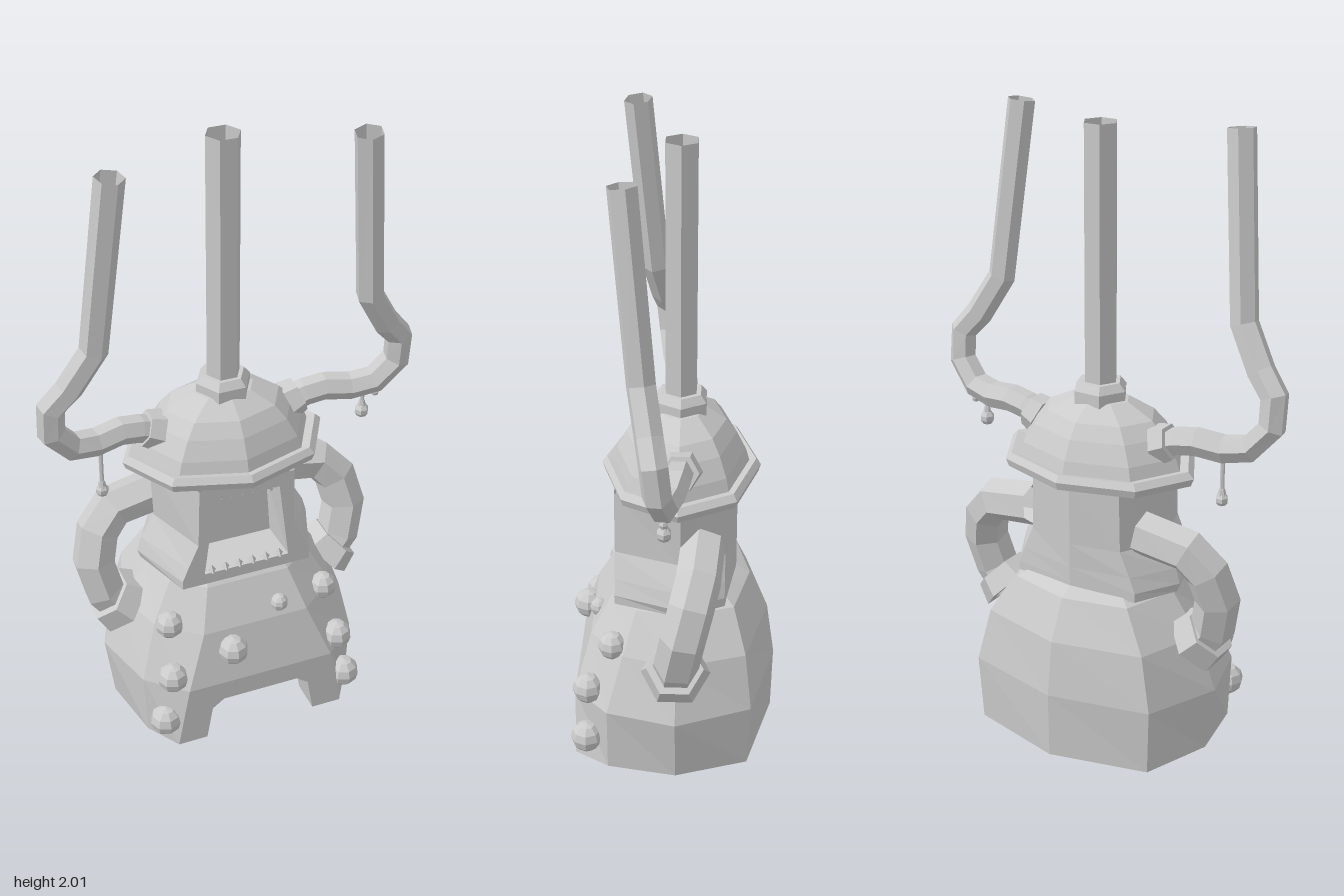
import * as THREE from 'three';

const mat = new THREE.MeshStandardMaterial({ color: 0xcccccc, flatShading: true, side: THREE.DoubleSide });
const V = (p) => new THREE.Vector3(...p);

function add(parent, name, geometry, pos = [0, 0, 0]) {
  const mesh = new THREE.Mesh(geometry, mat);
  mesh.name = name;
  mesh.position.set(...pos);
  parent.add(mesh);
  return mesh;
}

// Skin between loops of points; front gap stays open below loop "closeFrom"
function skin(loops, closeFrom = 0) {
  const n = loops[0].length, index = [];
  for (let i = 0; i < loops.length - 1; i++) {
    for (let j = 0; j < (i >= closeFrom ? n : n - 1); j++) {
      const a = i * n + j, b = i * n + (j + 1) % n;
      index.push(a, a + n, b + n, a, b + n, b);
    }
  }
  const g = new THREE.BufferGeometry();
  g.setAttribute('position', new THREE.Float32BufferAttribute(loops.flat(2), 3));
  g.setIndex(index);
  g.computeVertexNormals();
  return g;
}

// Symmetric loop at height y from half points [x, z], back centre first
function ring(y, half) {
  const right = half.map(([x, z]) => [x, y, z]);
  const left = right.slice(1).reverse().map(([x, yy, z]) => [-x, yy, z]);
  return [...left, ...right];
}

// Tube with hard bends at the given points
class Bends extends THREE.Curve {
  constructor(points) {
    super();
    this.p = points.map(V);
  }
  getPointAt(u) {
    const f = u * (this.p.length - 1), i = Math.min(Math.floor(f + 1e-6), this.p.length - 2);
    return this.p[i].clone().lerp(this.p[i + 1], f - i);
  }
  getPoint(t) { return this.getPointAt(t); }
  getTangentAt(u) {
    const i = Math.round(u * (this.p.length - 1)), last = this.p.length - 1, t = new THREE.Vector3();
    if (i > 0) t.add(this.p[i].clone().sub(this.p[i - 1]).normalize());
    if (i < last) t.add(this.p[i + 1].clone().sub(this.p[i]).normalize());
    return t.normalize();
  }
}
const pipe = (points, r, sides = 6) => new THREE.TubeGeometry(new Bends(points), points.length - 1, r, sides);

// Short collar centred at pos, facing along dir
function collar(parent, name, r0, r1, length, sides, pos, dir) {
  const m = add(parent, name, new THREE.CylinderGeometry(r0, r1, length, sides), pos);
  m.quaternion.setFromUnitVectors(new THREE.Vector3(0, 1, 0), V(dir).normalize());
}

const shape = (pts) => new THREE.Shape(pts.map(([x, y]) => new THREE.Vector2(x, y)));

export function createModel() {
  const model = new THREE.Group();

  // Bell-shaped lower body, open underneath
  const body = new THREE.Group();
  body.name = 'body';
  model.add(body);
  add(body, 'bodyShell', skin([
    ring(0, [[0, -.33], [.32, -.25], [.4, -.02], [.36, .2], [.29, .31]]),
    ring(.22, [[0, -.335], [.33, -.26], [.43, -.02], [.37, .2], [.25, .31]]),
    ring(.4, [[0, -.31], [.29, -.24], [.365, -.02], [.31, .15], [.18, .26]]),
    ring(.53, [[0, -.25], [.21, -.2], [.27, -.02], [.24, .11], [.14, .19]]),
    ring(.57, [[0, -.18], [.15, -.15], [.2, -.02], [.18, .08], [.12, .15]]),
  ], 1));

  // Front panel with an arched doorway and its tunnel
  const door = [[-.19, 0], [-.17, .12], [-.13, .15], [.13, .15], [.17, .12], [.19, 0]];
  add(body, 'doorPanel', new THREE.ShapeGeometry(shape([[-.29, 0], ...door, [.29, 0], [.25, .22], [-.25, .22]])), [0, 0, .31]);
  add(body, 'doorTunnel', skin([.31, .2].map((z) => door.map(([x, y]) => [x, y, z])), 2));

  // Neck with a flared foot
  const neck = new THREE.Group();
  neck.name = 'neck';
  model.add(neck);
  const levels = [[.54, .29, .22], [.57, .3, .22], [.62, .285, .2], [.7, .24, .165], [.91, .25, .16]];
  add(neck, 'neckShell', skin(levels.map(([y, side, corner]) =>
    ring(y, [[0, -.205], [corner, -.17], [side, -.03], [corner, .18]])), 9));

  // Neck front with a window, recess and back wall
  const edge = levels.map(([y, , x]) => [x, y]);
  const front = shape([...edge, ...edge.slice().reverse().map(([x, y]) => [-x, y])]);
  const win = [[-.145, .58], [.145, .58], [.11, .86], [-.11, .86]];
  const back = [[-.13, .6], [.13, .6], [.115, .81], [-.115, .81]];
  front.holes.push(shape(win));
  add(neck, 'windowPanel', new THREE.ShapeGeometry(front), [0, 0, .18]);
  add(neck, 'windowRecess', skin([win.map((p) => [...p, .18]), back.map((p) => [...p, .06])]));
  add(neck, 'windowBack', new THREE.ShapeGeometry(shape(back)), [0, 0, .06]);
  for (let i = 0; i < 6; i++) {
    const t = (i - 2.5) / 3;
    add(neck, 'lowerTooth', new THREE.ConeGeometry(.018, .025, 4), [t * .14, .59, .168]);
    add(neck, 'upperTooth', new THREE.ConeGeometry(.015, .025, 4), [t * .105, .85, .168]).rotation.x = Math.PI;
  }

  // Domed lid with a stepped rim, and the chimney
  const profile = [[.2, .9], [.29, .905], [.33, .91], [.34, .935], [.32, .955], [.29, .95], [.275, .99],
    [.235, 1.05], [.19, 1.095], [.1, 1.14], [0, 1.15]];
  const lid = add(model, 'lid', new THREE.LatheGeometry(profile.map(([x, y]) => new THREE.Vector2(x, y)), 8), [0, 0, -.025]);
  lid.scale.z = .74;
  const hex = (r0, r1, h, open) => new THREE.CylinderGeometry(r0, r1, h, 6, 1, open, Math.PI / 6);
  add(model, 'chimneyCollar', hex(.09, .09, .05), [0, 1.145, -.025]);
  add(model, 'chimneyCollarTop', hex(.07, .09, .025), [0, 1.182, -.025]);
  add(model, 'chimney', hex(.055, .055, .83, true), [0, 1.585, -.024]);

  // Paired side pipes and handles
  for (const s of [1, -1]) {
    const side = s > 0 ? 'left' : 'right';
    const mirror = (pts) => pts.map(([x, y, z]) => [x * s, y, z]);
    add(model, side + 'Pipe', pipe(mirror([[.2, 1.02, -.03], [.28, 1.05, -.025], [.345, 1.06, -.02], [.43, 1.05, -.005],
      [.51, 1.065, .01], [.575, 1.14, .025], [.575, 1.235, .035], [.52, 1.3, .05], [.445, 1.43, .075], [.39, 2, .125]]), .045));
    collar(model, side + 'PipeCollar', .058, .068, .05, 6, [.24 * s, 1.035, -.03], [s, .4, 0]);
    add(model, side + 'Handle', pipe(mirror([[.36, .37, -.02], [.42, .45, -.025], [.445, .56, -.045], [.42, .66, -.07],
      [.36, .725, -.09], [.2, .75, -.1]]), .072));
    collar(model, side + 'HandleCollar', .09, .11, .07, 6, [.385 * s, .405, -.02], [.73 * s, .68, 0]);
  }

  // Hanging pulls below the side pipes
  for (const [x, y, r, name] of [[.47, .955, .025, 'leftPull'], [-.42, .875, .022, 'rightPull']]) {
    const top = 1.03;
    add(model, name + 'Rod', new THREE.CylinderGeometry(.007, .007, top - y, 6), [x, (top + y) / 2, .01]);
    add(model, name + 'Neck', new THREE.CylinderGeometry(.009, .016, .03, 6), [x, y + r, .01]);
    add(model, name + 'Knob', new THREE.SphereGeometry(r, 6, 5), [x, y, .01]);
  }
  add(model, 'leftPullStud', new THREE.SphereGeometry(.014, 6, 4), [.515, 1.015, .01]);

  // Round studs on the front of the body
  const studs = [[-.09, .335, .29, .05], [.09, .44, .24, .03]];
  for (const s of [1, -1]) studs.push([.32 * s, .09, .27, .052], [.29 * s, .26, .265, .05], [.27 * s, .415, .185, .046]);
  for (const [x, y, z, r] of studs) add(body, 'stud', new THREE.SphereGeometry(r, 8, 6), [x, y, z]);

  return model;
}
